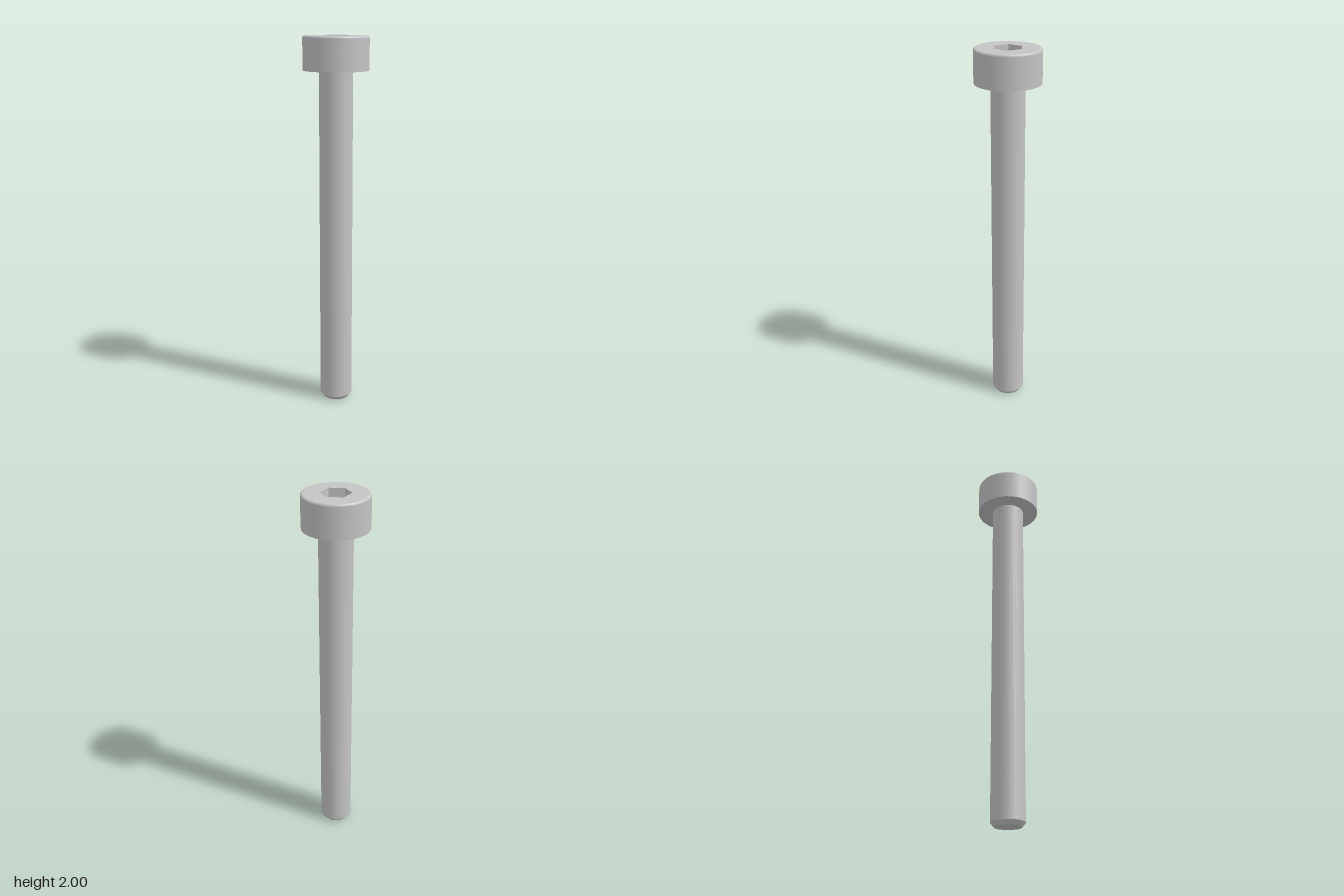
import * as THREE from 'three';

const SIDES = 24;
const HEAD_R = 0.172, HEAD_BOTTOM = 1.825, TOP = 2, FILLET = 0.012;
const SHAFT_R = 0.088, TIP_R = 0.071, CHAMFER = 0.022;
const HEX_R = 0.079, HEX_FLAT = HEX_R * Math.cos(Math.PI / 6);
const CONE_TIP = 1.872, CONE_SLOPE = 0.5;

// Height of the conical socket floor at a distance from the axis
const floorY = (r) => CONE_TIP + r * CONE_SLOPE;

export function createModel() {
  const model = new THREE.Group();
  const steel = new THREE.MeshStandardMaterial({ color: 0xc4c4c4 });
  steel.name = 'steel grey';

  const add = (name, geometry, parent = model) => {
    const mesh = new THREE.Mesh(geometry, steel);
    mesh.name = name;
    parent.add(mesh);
    return mesh;
  };
  const turned = (name, profile, sides = SIDES) =>
    add(name, new THREE.LatheGeometry(profile.map(([r, y]) => new THREE.Vector2(r, y)), sides));

  // Shaft: separate bands keep the edges crisp
  turned('shaftEnd', [[0, 0], [TIP_R, 0]]);
  turned('shaftChamfer', [[TIP_R, 0], [SHAFT_R, CHAMFER]]);
  turned('shaft', [[SHAFT_R, CHAMFER], [SHAFT_R, HEAD_BOTTOM]]);

  // Head: flat underside, then the side rolling over a small fillet
  turned('headUnderside', [[SHAFT_R, HEAD_BOTTOM], [HEAD_R, HEAD_BOTTOM]]);
  const side = [[HEAD_R, HEAD_BOTTOM], [HEAD_R, TOP - FILLET - 0.001]];
  for (let i = 0; i <= 5; i++) {
    const a = (i / 5) * Math.PI / 2;
    side.push([HEAD_R - FILLET + FILLET * Math.cos(a), TOP - FILLET + FILLET * Math.sin(a)]);
  }
  turned('headSide', side);

  // Head top with a hexagonal opening
  const ring = (r, n) => Array.from({ length: n }, (_, i) => {
    const a = Math.PI / 2 + (i / n) * Math.PI * 2;
    return new THREE.Vector2(r * Math.cos(a), r * Math.sin(a));
  });
  const face = new THREE.Shape(ring(HEAD_R - FILLET, SIDES));
  face.holes.push(new THREE.Path(ring(HEX_R, 6)));
  add('headTop', new THREE.ShapeGeometry(face).rotateX(-Math.PI / 2).translate(0, TOP, 0));

  // Socket walls: lower edges follow the conical floor
  const socket = new THREE.Group();
  socket.name = 'socketWalls';
  model.add(socket);
  const steps = 8;
  for (let k = 0; k < 6; k++) {
    const wall = new THREE.PlaneGeometry(1, 1, steps, 1);
    const p = wall.attributes.position;
    for (let i = 0; i < p.count; i++) {
      const x = HEX_FLAT * Math.tan(p.getX(i) * Math.PI / 3);
      const y = p.getY(i) > 0 ? TOP : floorY(Math.hypot(x, HEX_FLAT));
      p.setXYZ(i, x, y, -HEX_FLAT);
    }
    wall.rotateY(Math.PI / 6 + k * Math.PI / 3);
    add('socketWall', wall, socket);
  }

  // Socket floor: a cone trimmed to the hexagon
  const floor = turned('socketFloor', [[HEX_R, floorY(HEX_R)], [0, CONE_TIP]], steps * 6).geometry;
  const p = floor.attributes.position;
  for (let i = 0; i < p.count; i++) {
    if (Math.hypot(p.getX(i), p.getZ(i)) < 0.01) continue;
    const a = Math.atan2(p.getX(i), p.getZ(i)) + Math.PI * 2;
    const r = HEX_FLAT / Math.cos((a % (Math.PI / 3)) - Math.PI / 6);
    p.setXYZ(i, r * Math.sin(a), floorY(r), r * Math.cos(a));
  }

  return model;
}
